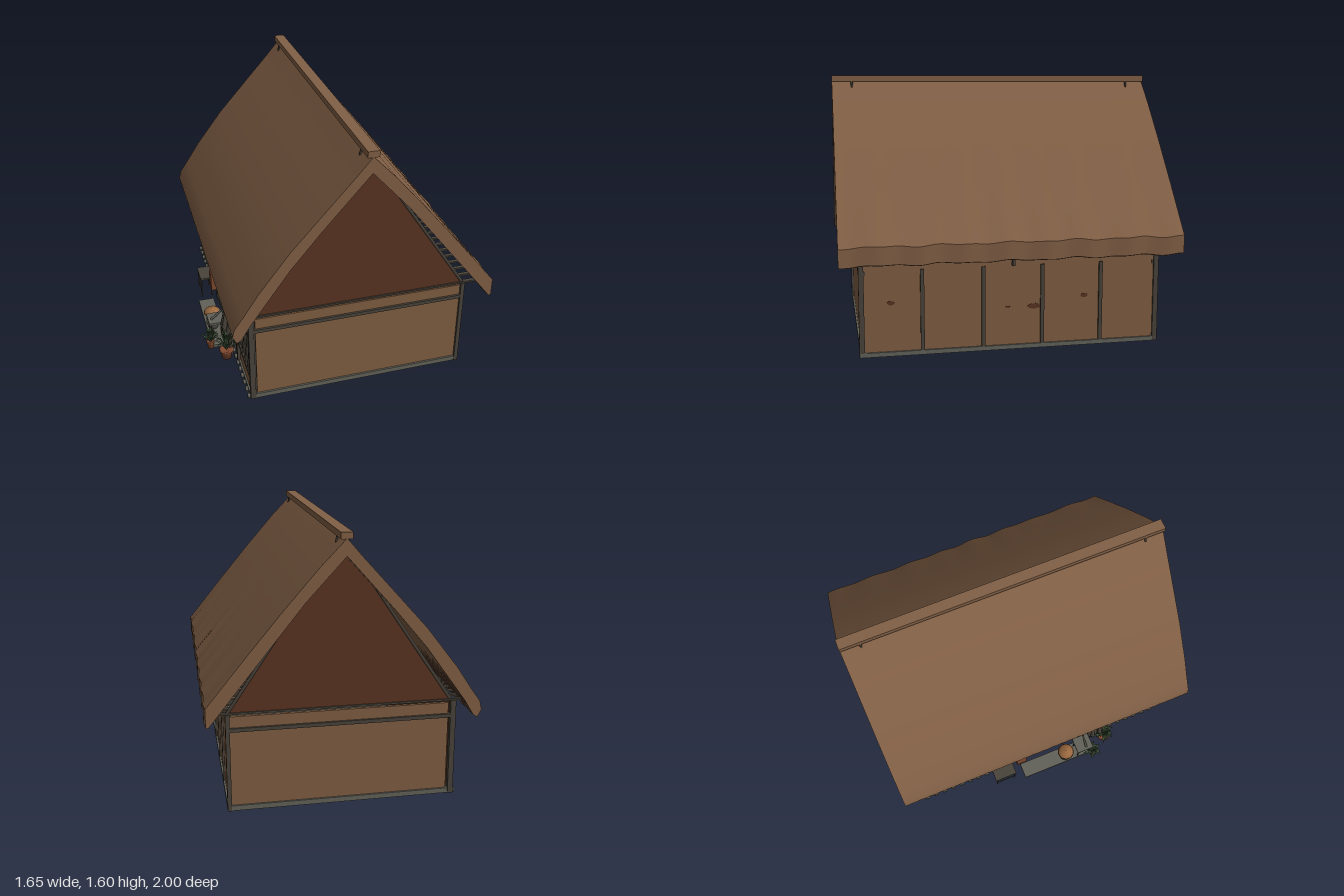
import * as THREE from 'three';
import { toCreasedNormals } from 'three/addons/utils/BufferGeometryUtils.js';

const mat = (name, color, side = THREE.FrontSide) => {
  const m = new THREE.MeshStandardMaterial({ color, side });
  m.name = name;
  return m;
};

export function createModel() {
  const M = {
    thatch: mat('thatch', 0x815f45),
    plaster: mat('plaster', 0x805e42),
    gable: mat('gableBoards', 0x5a3422),
    timber: mat('darkTimber', 0x49433a),
    stone: mat('stone', 0x62625a),
    paper: mat('paper', 0xc6cbc9),
    clay: mat('clay', 0x80492f),
    leaf: mat('leaf', 0x40553a, THREE.DoubleSide),
    floor: mat('floor', 0x55544f),
    straw: mat('straw', 0x99683f),
  };
  const root = new THREE.Group();
  root.name = 'thatchedHouse';

  const add = (name, geo, m, parent = root) => {
    const mesh = new THREE.Mesh(geo, m);
    mesh.name = name;
    parent.add(mesh);
    return mesh;
  };
  const group = (name) => {
    const g = new THREE.Group();
    g.name = name;
    root.add(g);
    return g;
  };
  // Box given by its minimum and maximum on each axis
  const box = (name, m, x0, x1, y0, y1, z0, z1, parent) => {
    const mesh = add(name, new THREE.BoxGeometry(x1 - x0, y1 - y0, z1 - z0), m, parent);
    mesh.position.set((x0 + x1) / 2, (y0 + y1) / 2, (z0 + z1) / 2);
    return mesh;
  };
  // Round rod between two points
  const rod = (name, m, a, b, r0, r1 = r0, parent = root, sides = 6) => {
    const p = new THREE.Vector3(...a), q = new THREE.Vector3(...b);
    const d = q.clone().sub(p);
    const mesh = add(name, new THREE.CylinderGeometry(r1, r0, d.length(), sides), m, parent);
    mesh.position.copy(p).add(q).multiplyScalar(0.5);
    mesh.quaternion.setFromUnitVectors(new THREE.Vector3(0, 1, 0), d.normalize());
    return mesh;
  };

  // Thatched roof: one bent profile drawn along z, with uneven eaves
  const profile = [
    [0.06, 1.565], [-0.03, 1.46], [-0.125, 1.355], [-0.39, 1.06], [-0.57, 0.826], [-0.66, 0.69], [-0.71, 0.62],
    [-0.722, 0.57], [-0.70, 0.525], [-0.675, 0.54], [-0.62, 0.63], [-0.39, 0.95], [-0.215, 1.16], [0.06, 1.47],
    [0.28, 1.23], [0.4, 1.08], [0.6, 0.83], [0.815, 0.56], [0.828, 0.565], [0.828, 0.67],
    [0.6, 0.95], [0.4, 1.19], [0.2, 1.42]];
  const roofGeo = new THREE.ExtrudeGeometry(
    new THREE.Shape(profile.map((p) => new THREE.Vector2(...p))), { depth: 2, steps: 90, bevelEnabled: false });
  roofGeo.translate(0, 0, -1);
  const pos = roofGeo.attributes.position;
  for (let i = 0; i < pos.count; i++) {
    const x = pos.getX(i), y = pos.getY(i), z = pos.getZ(i);
    if (x > 0.7) {
      pos.setY(i, y + 0.004 * Math.sin(z * 17 + 1) + 0.003 * Math.sin(z * 31));
      pos.setX(i, x + 0.004 * Math.sin(z * 26));
    } else if (x < -0.67 && y < 0.6) {
      pos.setY(i, y + 0.006 * Math.sin(z * 97) + 0.003 * Math.sin(z * 41));
    }
  }
  add('thatchRoof', toCreasedNormals(roofGeo, 0.5), M.thatch);
  box('ridgeCap', M.thatch, 0.028, 0.094, 1.56, 1.597, -1, 1);
  for (const z of [-0.88, 0.88])
    for (const s of [-1, 1]) rod('ridgePeg', M.timber, [0.061 + s * 0.036, 1.525, z], [0.061 + s * 0.026, 1.562, z], 0.005, 0.008);

  // Floor and sills
  box('floor', M.floor, -0.6, 0.705, 0.008, 0.03, -0.875, 0.875);
  box('rightSill', M.stone, 0.69, 0.714, 0.01, 0.036, -0.885, 0.885);
  box('leftSill', M.stone, -0.612, -0.585, 0.01, 0.036, -0.885, 0.885);

  // Matching end walls with gables; the rafters run up into the thatch
  for (const s of [1, -1]) {
    const g = group(s > 0 ? 'frontEnd' : 'backEnd');
    const slab = (name, m, x0, x1, y0, y1, za, zb) =>
      box(name, m, x0, x1, y0, y1, Math.min(s * za, s * zb), Math.max(s * za, s * zb), g);
    slab('endWall', M.plaster, -0.57, 0.692, 0.04, 0.573, 0.855, 0.875);
    slab('endSill', M.stone, -0.6, 0.71, 0.01, 0.04, 0.85, 0.886);
    slab('endRail', M.timber, -0.6, 0.71, 0.485, 0.507, 0.85, 0.888);
    slab('cornerPost', M.timber, -0.612, -0.58, 0.01, 0.588, 0.86, 0.89);
    slab('cornerPost', M.timber, 0.69, 0.714, 0.01, 0.588, 0.86, 0.89);
    const tri = new THREE.Shape([[-0.575, 0.592], [0.695, 0.592], [0.06, 1.54]].map((p) => new THREE.Vector2(...p)));
    const panel = add('gablePanel', new THREE.ExtrudeGeometry(tri, { depth: 0.012, bevelEnabled: false }), M.gable, g);
    panel.position.z = s * 0.868 - 0.006;
    for (const x of [-0.583, 0.703])
      rod('gableRafter', M.timber, [x, 0.59, s * 0.87], [0.06, 1.55, s * 0.87], 0.01, 0.01, g);
  }

  // Ceiling joists reaching out under the eaves
  const joists = group('joists');
  for (let i = 0; i < 25; i++) {
    const z = -0.87 + i * 0.0725;
    box('joist', M.timber, -0.655, 0.813, 0.586, 0.597, z - 0.012, z + 0.012, joists);
  }

  // Plain right wall with posts and worn patches
  box('rightWall', M.plaster, 0.688, 0.703, 0.03, 0.58, -0.87, 0.87);
  for (const z of [-0.53, -0.175, 0.175, 0.53]) box('wallPost', M.timber, 0.69, 0.714, 0.03, 0.51, z - 0.011, z + 0.011);
  box('eavePeg', M.timber, 0.70, 0.73, 0.51, 0.575, -0.008, 0.008);
  for (const [z, y, w, h] of [[0.71, 0.32, 0.021, 0.013], [0.03, 0.262, 0.015, 0.005], [-0.125, 0.26, 0.038, 0.016], [-0.43, 0.31, 0.022, 0.012]]) {
    const patch = add('wornPatch', new THREE.CylinderGeometry(1, 1, 0.004, 10), M.gable);
    patch.rotation.z = Math.PI / 2;
    patch.scale.set(h, 1, w);
    patch.position.set(0.704, y, z);
  }

  // Left facade: slatted bays around a papered door
  const facade = group('facade');
  box('facadeBoards', M.gable, -0.598, -0.588, 0.03, 0.58, -0.87, 0.87, facade);
  for (const z of [-0.53, -0.175, 0.175, 0.53])
    box('facadePost', M.timber, -0.62, -0.585, 0.01, 0.58, z - 0.013, z + 0.013, facade);
  for (const y of [0.16, 0.455]) box('facadeRail', M.timber, -0.614, -0.595, y, y + 0.02, -0.87, 0.87, facade);
  for (const c of [-0.705, -0.353, 0.353, 0.705]) {
    box('lowerPanel', c > 0.5 ? M.plaster : M.gable, -0.602, -0.597, 0.036, 0.16, c - 0.16, c + 0.16, facade);
    for (let i = -3; i <= 3; i++) {
      const z = c + i * 0.045;
      box('slat', M.timber, -0.609, -0.597, c > 0.5 ? 0.16 : 0.036, 0.455, z - 0.006, z + 0.006, facade);
    }
  }
  box('doorPaper', M.paper, -0.604, -0.597, 0.2, 0.455, -0.162, 0.162, facade);
  for (let i = -2; i <= 2; i++)
    box('doorBar', M.timber, -0.608, -0.6, 0.036, 0.455, i * 0.08 - 0.004, i * 0.08 + 0.004, facade);
  for (const y of [0.195, 0.28, 0.365]) box('doorBar', M.timber, -0.608, -0.6, y, y + 0.007, -0.162, 0.162, facade);

  // Slatted door hood
  const hood = group('doorHood');
  for (const y of [0.46, 0.485, 0.51]) box('hoodSlat', M.timber, -0.645, -0.612, y, y + 0.018, -0.12, 0.12, hood);
  for (const z of [-0.1, 0.1]) rod('hoodStrut', M.timber, [-0.61, 0.425, z], [-0.685, 0.498, z], 0.008, 0.008, hood);

  // Short logs laid along the foot of the outer bays
  const logs = group('edgingLogs');
  for (let i = 0; i < 28; i++) {
    const z = -0.86 + i * 0.0637;
    if (Math.abs(z) > 0.3) rod('edgingLog', M.stone, [-0.6, 0.016, z], [-0.628, 0.016, z], 0.015, 0.015, logs, 8);
  }

  // Stone step, bench, wooden post box and small shelf
  box('doorStep', M.stone, -0.748, -0.645, 0.006, 0.026, -0.17, 0.345);
  const bench = group('bench');
  box('benchTop', M.timber, -0.718, -0.635, 0.145, 0.158, -0.38, -0.23, bench);
  for (const x of [-0.711, -0.642]) {
    for (const z of [-0.37, -0.24]) rod('benchLeg', M.timber, [x, 0.005, z], [x, 0.145, z], 0.005, 0.005, bench);
    rod('benchBrace', M.timber, [x, 0.05, -0.37], [x, 0.05, -0.24], 0.004, 0.004, bench);
  }
  box('postBox', M.clay, -0.66, -0.614, 0.12, 0.25, -0.2, -0.13);
  box('shelfTop', M.stone, -0.755, -0.65, 0.172, 0.188, 0.22, 0.335);
  for (const x of [-0.74, -0.665])
    for (const z of [0.235, 0.32]) rod('shelfLeg', M.timber, [x, 0.02, z], [x, 0.174, z], 0.005);
  rod('shelfProp', M.stone, [-0.735, 0.19, 0.29], [-0.665, 0.25, 0.29], 0.008, 0.006);

  // Jar under a straw lid
  const lathe = (name, m, pts, x, y, z) => {
    const mesh = add(name, new THREE.LatheGeometry(pts.map((p) => new THREE.Vector2(...p)), 16), m);
    mesh.position.set(x, y, z);
  };
  lathe('jar', M.stone, [[0, 0], [0.03, 0], [0.042, 0.035], [0.042, 0.07], [0.03, 0.11], [0, 0.12]], -0.705, 0.026, 0.15);
  lathe('strawLid', M.straw, [[0, 0], [0.056, 0], [0.05, 0.015], [0.028, 0.032], [0, 0.04]], -0.705, 0.142, 0.15);

  // Gnarled leaning branches, thick at the foot and kinked halfway
  const branches = group('branches');
  for (let i = 0; i < 7; i++) {
    const z = 0.35 + i * 0.016;
    const top = 0.27 + 0.035 * ((i * 3) % 4);
    const knee = [-0.655 - 0.01 * (i % 3), top * 0.55, z + 0.02 * Math.sin(i * 2)];
    rod('branchFoot', M.timber, [-0.64, 0.01, z], knee, 0.012, 0.017, branches);
    rod('branchTip', M.timber, knee, [-0.622 - 0.012 * (i % 3), top + 0.01, z + 0.03 * Math.cos(i * 2)], 0.017, 0.006, branches);
  }

  // Potted plants with arching leaves
  const plant = (x, z, r, h, spread, height) => {
    lathe('pot', M.clay, [[0, 0], [r * 0.65, 0], [r * 0.9, h * 0.8], [r, h * 0.8], [r, h], [r * 0.8, h], [0, h * 0.9]], x, 0.008, z);
    const g = group('plant');
    g.position.set(x, h, z);
    for (let i = 0; i < 34; i++) {
      const blade = new THREE.PlaneGeometry(0.014, 1, 2, 5);
      const p = blade.attributes.position;
      const k0 = ((i * 7) % 10) / 9;
      const reach = spread * (0.35 + 0.65 * k0);
      const rise = height * (1.05 - 0.6 * k0);
      for (let k = 0; k < p.count; k++) {
        const t = p.getY(k) + 0.5;
        const w = p.getX(k) * Math.sin(Math.PI * (0.12 + 0.88 * t));
        p.setXYZ(k, w, rise * Math.sin(t * 2.1), reach * t);
      }
      blade.computeVertexNormals();
      add('leaf', blade, M.leaf, g).rotation.y = i * 2.4;
    }
  };
  plant(-0.755, 0.34, 0.026, 0.052, 0.072, 0.095);
  plant(-0.675, 0.46, 0.044, 0.065, 0.085, 0.13);

  return root;
}
